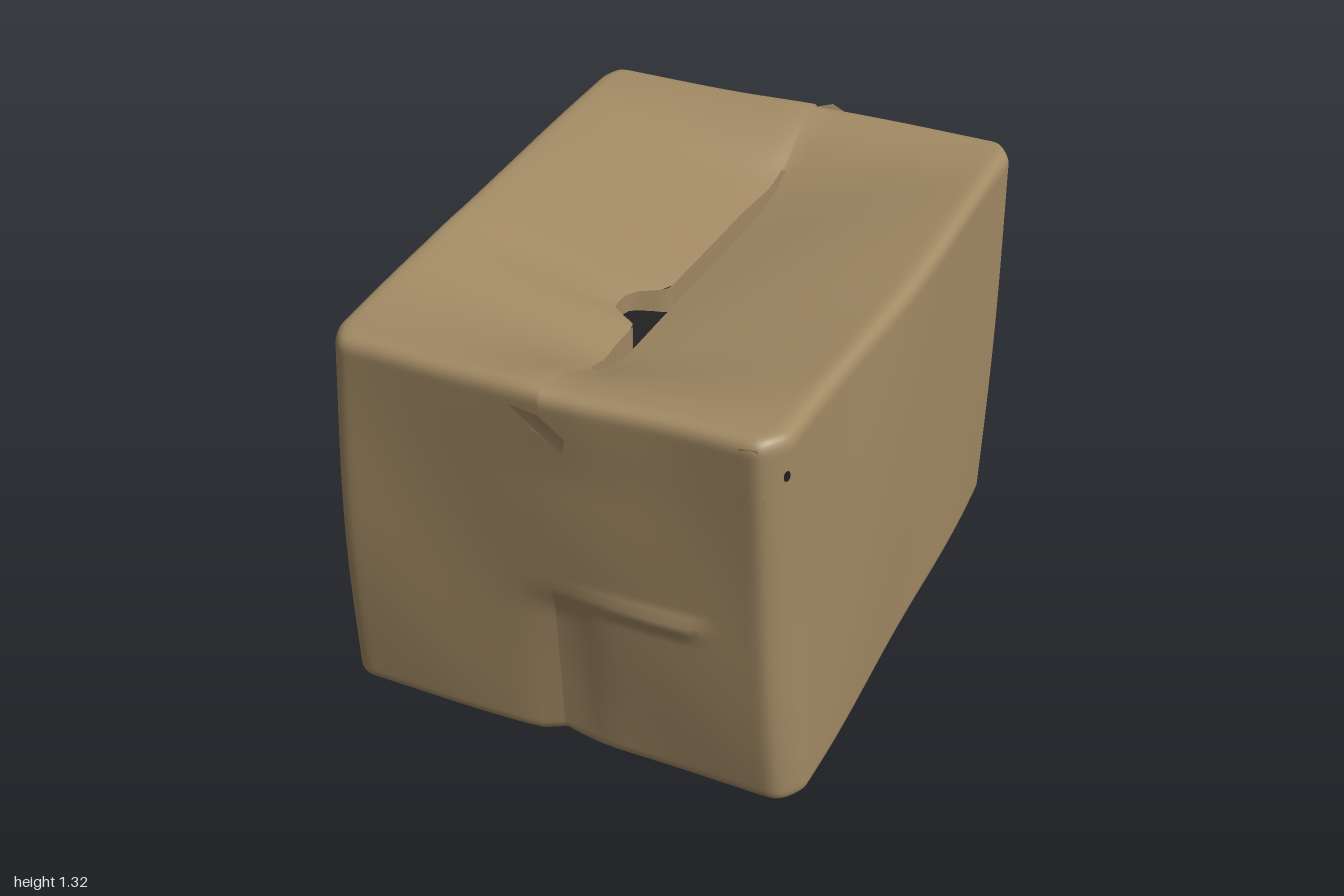
import * as THREE from 'three';
import { mergeVertices } from 'three/addons/utils/BufferGeometryUtils.js';

const HX = 0.72, HY = 0.63, HZ = 0.94, R = 0.045, SEAM = 0.003;
const { clamp, smoothstep, lerp } = THREE.MathUtils;
const bell = (d, width, power = 2) => Math.exp(-(Math.abs(d / width) ** power));

// corners of the slumped carton: [bottom, top][back, front][left, right]
const CORNERS = [
  [[[-0.72, 0.02, -0.98], [0.715, 0.01, -0.98]], [[-0.73, 0.025, 0.82], [0.71, 0.02, 0.85]]],
  [[[-0.68, 1.317, -1.0], [0.745, 1.308, -0.945]], [[-0.665, 1.255, 0.89], [0.68, 1.278, 0.975]]],
];

// the split between the two top flaps
const seamX = z => 0.02 - 0.02 * z;
const halfGap = z => 0.021 * clamp((z + 0.68) / 0.3, 0, 1) * clamp((0.67 - z) / 0.2, 0, 1);
const notch = z => 0.1 * bell(z - 0.24, 0.085, 4);

// moves a point of the straight box to the battered box
function warp(x, y, z, open = 1) {
  const u = x / HX, v = y / HY, w = z / HZ;
  const a = (u + 1) / 2, b = (v + 1) / 2, c = (w + 1) / 2;
  const p = [0, 1, 2].map(i => {
    const edge = (j, k) => lerp(CORNERS[j][k][0][i], CORNERS[j][k][1][i], a);
    return lerp(lerp(edge(0, 0), edge(0, 1), c), lerp(edge(1, 0), edge(1, 1), c), b);
  });
  const top = smoothstep(v, 0.5, 1), bottom = smoothstep(-v, 0.7, 1);
  const mid = Math.max(0, 1 - Math.abs(u)), ends = Math.max(0, 1 - w * w);

  // bulging side walls and crushed upright corners
  p[0] += u * ends * (0.012 + 0.01 * Math.max(0, 1 - v * v));
  p[0] -= u * (u > 0 ? 0.04 : 0.025) * smoothstep(Math.abs(w), 0.9, 1);
  // top flaps sag towards the seam, steeply from the back strip, and part
  const gap = halfGap(z);
  p[0] += top * mid * (seamX(z) + open * (u < 0 ? -gap - notch(z) : gap));
  p[1] -= top * 0.145 * mid ** 1.2 * smoothstep(z, -0.9, -0.55) * (1 - smoothstep(z, 0.5, 0.94));
  if (u < 0) p[1] += top * 0.008 * bell(u, 0.3);
  // bottom flaps bend in towards their seam
  p[1] += bottom * (0.025 * mid * ends + 0.018 * bell(x, 0.03));
  // front wall: swollen rim, crease and dented lower half
  const front = smoothstep(w, 0.85, 1);
  const low = 1 - smoothstep(p[1], 0.5, 0.62);
  p[2] += front * (top * 0.02 * bell(x - 0.08, 0.25) + 0.015 * Math.max(0, 1 - v * v));
  p[2] += front * 0.022 * bell(p[1] - 0.61, 0.022) * smoothstep(x, -0.05, 0.4) * (1 - smoothstep(x, 0.45, 0.53));
  p[2] -= front * low * 0.018 * bell(x - 0.03, 0.09);
  // shallow dents over every wall
  p[0] += 0.005 * Math.sin(5 * z + 3 * y) * Math.abs(u);
  p[1] += 0.004 * Math.sin(6 * x + 4 * z) * top * ends;
  p[2] += 0.005 * Math.sin(6 * x + 5 * y) * Math.abs(w);
  return new THREE.Vector3(...p);
}

function boxShell() {
  const NX = 41;
  const geo = new THREE.BoxGeometry(2, 2, 2, NX, 64, 72);
  const pos = geo.attributes.position;
  const spread = t => 0.35 * t + 0.65 * Math.sin(t * Math.PI / 2);
  const ref = [];
  for (let i = 0; i < pos.count; i++) {
    const t = pos.getX(i);
    const x = Math.abs(t) < 1.5 / NX ? Math.sign(t) * SEAM : spread(t) * HX;
    ref.push(new THREE.Vector3(x, spread(pos.getY(i)) * HY, spread(pos.getZ(i)) * HZ));
  }
  // leave the gap between the flaps open
  const inGap = i => ref[i].y > HY - 1e-4 && Math.abs(ref[i].x) < SEAM * 1.1 && halfGap(ref[i].z) > 0.001;
  const index = [];
  for (let i = 0; i < geo.index.count; i += 3) {
    const tri = [0, 1, 2].map(k => geo.index.getX(i + k));
    if (!tri.every(inGap)) index.push(...tri);
  }
  // round the edges, then warp
  const inner = new THREE.Vector3(HX - R, HY - R, HZ - R);
  const outer = inner.clone().negate();
  ref.forEach((p, i) => {
    const q = p.clone().clamp(outer, inner);
    q.add(p.clone().sub(q).setLength(R));
    const s = warp(q.x, q.y, q.z);
    pos.setXYZ(i, s.x, s.y, s.z);
  });
  geo.setIndex(index);
  geo.clearGroups();
  geo.deleteAttribute('normal');
  geo.deleteAttribute('uv');
  const merged = mergeVertices(geo, 1e-5);
  merged.computeVertexNormals();
  return merged;
}

// sheet whose points follow fn(a, b), with a and b from 0 to 1
function sheet(n, m, fn) {
  const geo = new THREE.PlaneGeometry(1, 1, n, m);
  const pos = geo.attributes.position;
  for (let i = 0; i < pos.count; i++) {
    const p = fn(pos.getX(i) + 0.5, pos.getY(i) + 0.5);
    pos.setXYZ(i, p.x, p.y, p.z);
  }
  geo.computeVertexNormals();
  return geo;
}

// small torn piece of board, as a fan of triangles
function scrap(points) {
  const geo = new THREE.BufferGeometry();
  geo.setAttribute('position', new THREE.Float32BufferAttribute(points.flat(), 3));
  const index = [];
  for (let i = 1; i < points.length - 1; i++) index.push(0, i + 1, i);
  geo.setIndex(index);
  geo.computeVertexNormals();
  return geo;
}

// dark hole lying on a side wall
function hole(side, y, z, ry, rz) {
  const geo = new THREE.CircleGeometry(1, 10);
  const pos = geo.attributes.position;
  for (let i = 0; i < pos.count; i++) {
    const dz = pos.getX(i) * rz, dy = pos.getY(i) * ry;
    const p = warp(side * (HX + 0.005), y + dy - dz * 0.1, z + dz);
    pos.setXYZ(i, p.x, p.y, p.z);
  }
  geo.computeVertexNormals();
  return geo;
}

export function createModel() {
  const group = new THREE.Group();
  const cardboard = new THREE.MeshStandardMaterial({ color: 0xa28a64, side: THREE.DoubleSide });
  cardboard.name = 'cardboard';
  const dark = new THREE.MeshStandardMaterial({ color: 0x1f1f1f, side: THREE.DoubleSide });
  dark.name = 'darkInside';
  const add = (name, geo, mat) => {
    const mesh = new THREE.Mesh(geo, mat);
    mesh.name = name;
    group.add(mesh);
  };

  add('boxShell', boxShell(), cardboard);

  // darkness under the split and the turned-down flap edge
  const down = (p, d) => { p.y -= d; return p; };
  add('gapInside', sheet(8, 40, (a, b) =>
    down(warp(lerp(-0.2, 0.2, a), HY, lerp(-0.72, 0.72, b), 0), 0.08)), dark);
  add('flapLip', sheet(1, 72, (a, b) =>
    down(warp(-SEAM, HY, lerp(-0.67, 0.66, b)), 0.1 * a)), cardboard);

  // worn-through spots
  add('sideHole', hole(-1, -0.27, -0.61, 0.03, 0.055), dark);
  add('sidePinhole', hole(-1, -0.28, -0.27, 0.012, 0.012), dark);
  add('cornerHole', hole(1, 0.51, 0.88, 0.017, 0.009), dark);

  // torn tape and loose board edges
  add('frontTapeTear', scrap([[-0.08, 1.21, 0.945], [0.02, 1.215, 0.975], [0.1, 1.17, 0.99],
    [0.095, 1.12, 0.985], [0.0, 1.16, 0.965]]), cardboard);
  add('frontCornerFlap', scrap([[0.57, 1.25, 0.97], [0.62, 1.255, 0.97], [0.635, 1.08, 0.95],
    [0.61, 1.05, 0.94]]), cardboard);
  add('backTapeTear', scrap([[0.04, 1.29, -0.965], [0.12, 1.315, -0.97], [0.19, 1.29, -0.955]]), cardboard);
  for (const [x0, x1, x2] of [[-0.16, -0.05, 0], [0, 0.04, 0.13], [0.53, 0.58, 0.65]]) {
    add('bottomTear', scrap([[x0, 0.035, -0.95], [x1, 0.0, -0.965], [x2, 0.035, -0.95]]), cardboard);
  }
  return group;
}
